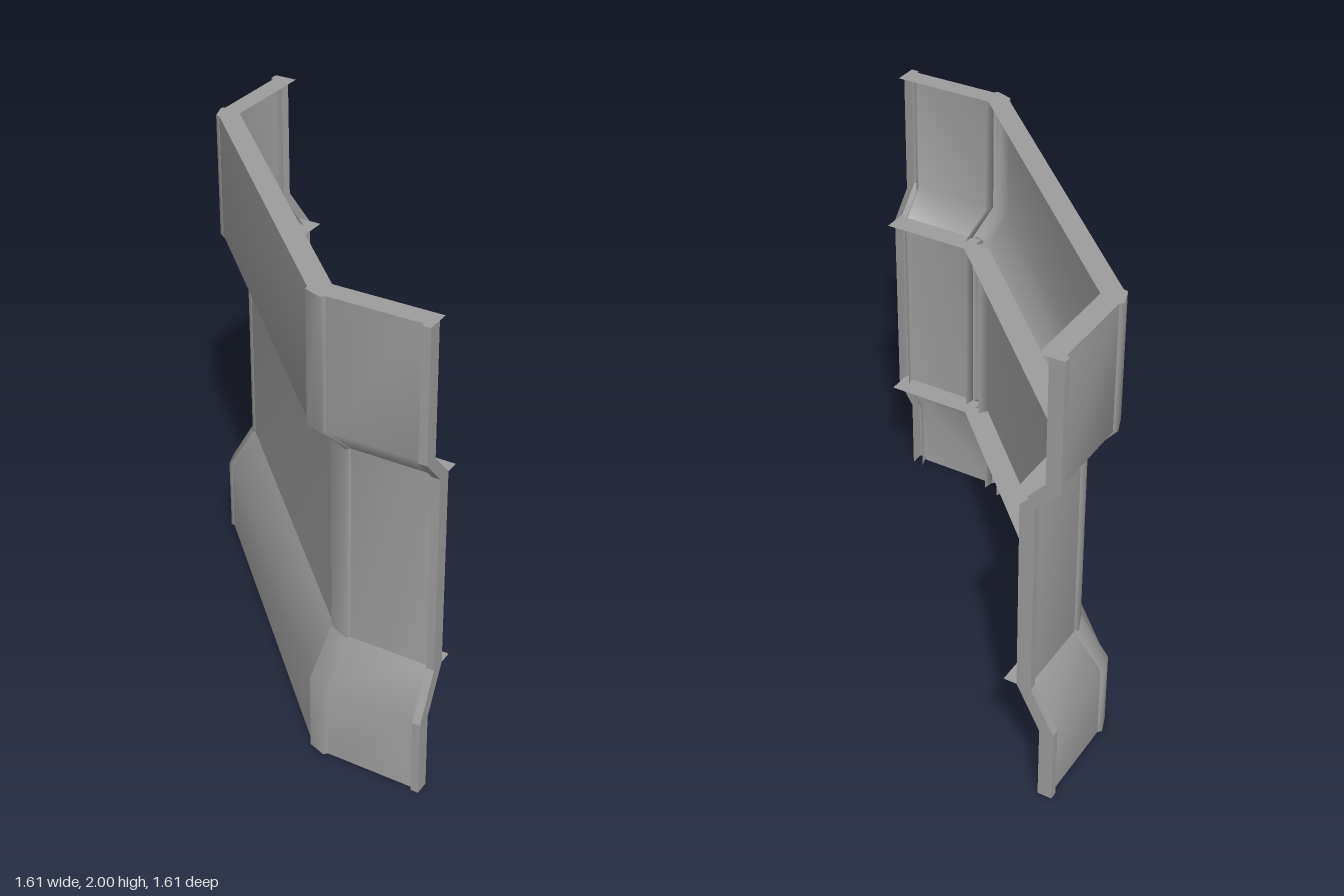
import * as THREE from 'three';

const material = new THREE.MeshStandardMaterial({ color: 0x9d9d9d, side: THREE.DoubleSide });
const END = 0.805; // end of each wing
const RIB = -0.015; // ribs stand proud of the panels
const LIP = 0.045; // depth of the folded flanges

// Vertical profile as [inset, height], in three bands: smooth within, hard between
const BANDS = {
  lower: [[0, 0], [0, 0.33], [0.1, 0.52]],
  middle: [[0.1, 0.52], [0.1, 1.36]],
  upper: [[0.1, 1.36], [0, 1.47], [0, 2]],
};

// Plan points of the right half, as [x, z], for an inset d.
const corner = (d) => [0.34 + 0.414 * d, 0.79 - d];
const wing = (x, o) => (d) => [x, 0.79 - o - d]; // at a fixed x
const wingFrom = (a, o) => (d) => [corner(d)[0] + a, 0.79 - o - d]; // a away from the corner
const diag = (b, o) => (d) => {
  const [x, z] = corner(d), r = Math.SQRT1_2, s = b + 0.15 * d;
  return [x + (o - s) * r, z - (o + s) * r];
};
const bend = (o) => (d) => corner(d + o);

// The left half is the right half reflected across the diagonal.
const mirror = (path) => path.map((f) => (d) => {
  const [x, z] = f(d);
  return [-z, -x];
}).reverse();

// Sweeps a plan path up each band of the profile as a folded sheet.
function sheet(name, path, flat = false) {
  const part = new THREE.Group();
  part.name = name;
  const n = path.length;
  for (const [band, profile] of Object.entries(BANDS)) {
    const pos = [], index = [];
    profile.forEach(([d, y], j) => path.forEach((f, i) => {
      const [x, z] = f(d);
      pos.push(x, y, z);
      if (j && i) {
        const c = j * n + i, e = c - 1, b = c - n, a = b - 1;
        index.push(b, a, e, b, e, c);
      }
    }));
    let geo = new THREE.BufferGeometry();
    geo.setAttribute('position', new THREE.Float32BufferAttribute(pos, 3));
    geo.setIndex(index);
    if (flat) geo = geo.toNonIndexed();
    geo.computeVertexNormals();
    const mesh = new THREE.Mesh(geo, material);
    mesh.name = `${name} ${band}`;
    part.add(mesh);
  }
  return part;
}

// Horizontal plate with a plan outline.
function plate(name, path, y) {
  const pts = path.map((f) => f(0)).map(([x, z]) => new THREE.Vector2(x, -z));
  const geo = new THREE.ShapeGeometry(new THREE.Shape(pts)).rotateX(-Math.PI / 2);
  const mesh = new THREE.Mesh(geo, material);
  mesh.name = name;
  mesh.position.y = y;
  return mesh;
}

export function createModel() {
  const group = new THREE.Group();

  const wingPanel = [wing(0.755, LIP), wing(0.77, 0), wingFrom(0.06, 0), wingFrom(0.07, LIP)];
  const endRib = [wing(END, LIP), wing(END, RIB), wing(0.772, RIB), wing(0.77, 0)];
  const cornerRib = [wingFrom(0.06, 0), wingFrom(0.047, -0.014), diag(0.027, -0.01), diag(0.042, 0)];
  const diagEdge = [diag(0.052, LIP), diag(0.042, 0)];

  // Wings, ribs and shelves, once per side
  const shelf = [
    wing(END, 0.085), wing(END, 0.2), wing(0.4, 0.2), wing(0.4, 0.1), wing(0.77, 0.1), wing(0.77, 0.085),
  ];
  for (const [side, flip] of [['right', (p) => p], ['left', mirror]]) {
    group.add(sheet(side + 'WingPanel', flip(wingPanel)));
    group.add(sheet(side + 'EndRib', flip(endRib), true));
    group.add(sheet(side + 'CornerRib', flip(cornerRib)));
    for (const y of [0.52, 1.36]) group.add(plate(side + 'WingShelf', flip(shelf), y));
  }

  // Long diagonal panel with its shelves
  group.add(sheet('diagonalPanel', [...diagEdge, ...mirror(diagEdge)]));
  const shelfEnd = [() => [0.358, 0.667], () => [0.4, 0.645], bend(0.2)];
  for (const y of [0.52, 1.36]) {
    group.add(plate('diagonalShelf', [...shelfEnd, ...mirror(shelfEnd)], y));
  }

  // Continuous top rim, following the ribs on its outer edge
  const outer = [wing(END, RIB), wing(0.772, RIB), wing(0.77, 0), ...cornerRib];
  const inner = [bend(0.085), wing(END, 0.085)];
  group.add(plate('topRim', [...outer, ...mirror(outer), ...mirror(inner), ...inner], 2));

  return group;
}
